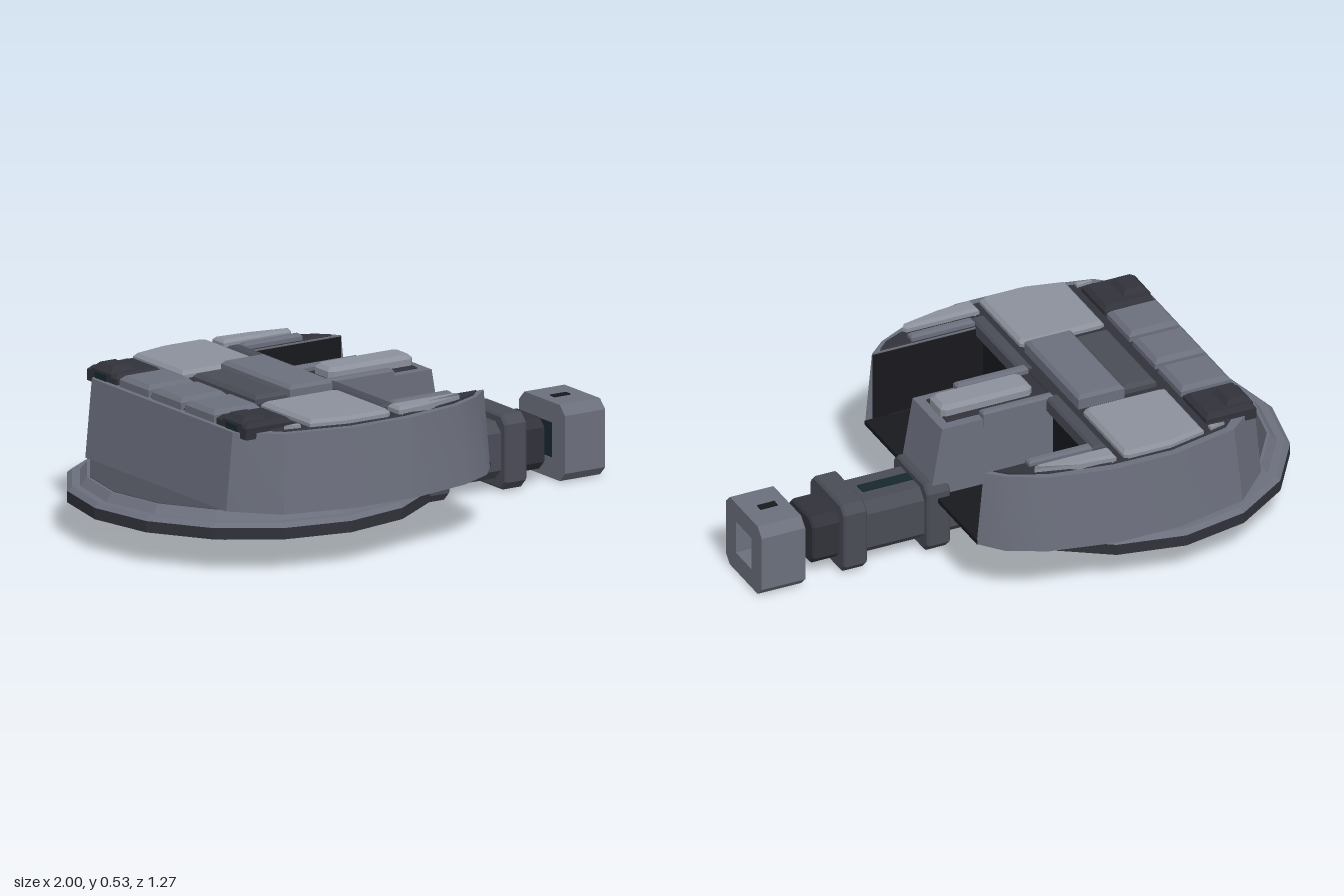
import * as THREE from 'three';
import { toCreasedNormals } from 'three/addons/utils/BufferGeometryUtils.js';

const MID = 0x6b6f7c, LIGHT = 0x8b909b, SHADE = 0x4a4c56, DARK = 0x31323a, BLACK = 0x18191d, GLASS = 0x17282d;

export function createModel() {
  const model = new THREE.Group();

  function add(name, geometry, color, flat = true) {
    const mesh = new THREE.Mesh(geometry, new THREE.MeshStandardMaterial({ color, flatShading: flat }));
    mesh.name = name;
    model.add(mesh);
    return mesh;
  }

  // Stack of equal-length [x, z] outlines at rising heights, capped at both ends
  function loft(rings) {
    const area = THREE.ShapeUtils.area(rings[0].pts.map(p => new THREE.Vector2(...p)));
    const loops = rings.map(r => {
      const pts = area < 0 ? [...r.pts].reverse() : r.pts;
      return pts.map(([x, z]) => [x, r.y, z]);
    });
    const pos = [];
    const tri = (a, b, c) => pos.push(...a, ...b, ...c);
    for (let k = 0; k < loops.length - 1; k++) {
      const lo = loops[k], hi = loops[k + 1];
      lo.forEach((a, i) => {
        const j = (i + 1) % lo.length;
        tri(a, hi[j], lo[j]);
        tri(a, hi[i], hi[j]);
      });
    }
    const cap = (loop, up) => {
      const faces = THREE.ShapeUtils.triangulateShape(loop.map(p => new THREE.Vector2(p[0], p[2])), []);
      for (const [a, b, c] of faces) up ? tri(loop[a], loop[c], loop[b]) : tri(loop[a], loop[b], loop[c]);
    };
    cap(loops[0], false);
    cap(loops[loops.length - 1], true);
    const g = new THREE.BufferGeometry();
    g.setAttribute('position', new THREE.Float32BufferAttribute(pos, 3));
    g.computeVertexNormals();
    return g;
  }

  // Raised plate with a chamfered top edge
  function plate(name, pts, y0, y1, color, inset = 0.012) {
    const xs = pts.map(p => p[0]), zs = pts.map(p => p[1]);
    const cx = (Math.min(...xs) + Math.max(...xs)) / 2, cz = (Math.min(...zs) + Math.max(...zs)) / 2;
    const sx = 1 - inset / (Math.max(...xs) - cx), sz = 1 - inset / (Math.max(...zs) - cz);
    const top = pts.map(([x, z]) => [cx + (x - cx) * sx, cz + (z - cz) * sz]);
    return add(name, loft([{ y: y0, pts }, { y: y1 - inset, pts }, { y: y1, pts: top }]), color);
  }
  const rect = (x0, x1, z0, z1) => [[x0, z0], [x1, z0], [x1, z1], [x0, z1]];
  const flip = pts => pts.map(([x, z]) => [x, -z]);
  const both = (name, pts, ...rest) => {
    plate(name + 'Left', pts, ...rest);
    plate(name + 'Right', flip(pts), ...rest);
  };

  // Block with chamfered long edges lying along x, with an optional square bore
  function block(name, x0, x1, y0, y1, hz, c, color, bore = 0) {
    const h = (y1 - y0) / 2, s = new THREE.Shape();
    [[-hz + c, -h], [hz - c, -h], [hz, -h + c], [hz, h - c], [hz - c, h], [-hz + c, h], [-hz, h - c], [-hz, -h + c]]
      .forEach(([a, b], i) => i ? s.lineTo(a, b) : s.moveTo(a, b));
    if (bore) {
      const hole = new THREE.Path();
      hole.moveTo(-bore, -bore).lineTo(-bore, bore).lineTo(bore, bore).lineTo(bore, -bore);
      s.holes.push(hole);
    }
    const b = bore ? 0 : 0.008;
    const g = new THREE.ExtrudeGeometry(s, {
      depth: x1 - x0 - 2 * b, bevelEnabled: !bore, bevelSize: b, bevelThickness: b, bevelOffset: -b, bevelSegments: 1,
    });
    g.translate(0, 0, b).rotateY(Math.PI / 2).translate(x0, (y0 + y1) / 2, 0);
    return add(name, g, color);
  }

  // Round base plate
  const circle = r => Array.from({ length: 16 }, (_, i) => {
    const a = i * Math.PI / 8;
    return [-0.37 + r * Math.cos(a), r * Math.sin(a)];
  });
  add('basePlate', loft([{ y: 0.12, pts: circle(0.63) }, { y: 0.16, pts: circle(0.63) }]), DARK);
  add('baseRim', loft([{ y: 0.16, pts: circle(0.63) }, { y: 0.175, pts: circle(0.612) }]), MID);
  add('baseStep', loft([{ y: 0.17, pts: circle(0.588) }, { y: 0.204, pts: circle(0.56) }]), MID);
  add('baseDeck', loft([{ y: 0.19, pts: circle(0.55) }, { y: 0.206, pts: circle(0.55) }]), SHADE);

  // Turret shell: solid rear, two side pods and the floor between them
  const rearHalf = [[-0.12, 0.635], [-0.35, 0.635], [-0.61, 0.575], [-0.75, 0.43]];
  const rear = [...rearHalf, ...flip(rearHalf).reverse()];
  const pod = [[-0.12, 0.435], [-0.12, 0.635], [-0.1, 0.635], [0.13, 0.585], [0.26, 0.52], [0.33, 0.435]];
  const taper = pts => pts.map(([x, z]) => [
    x < -0.3 || x > 0 ? (x + 0.21) * 0.95 - 0.21 : x,
    Math.abs(z) > 0.436 ? z * 0.953 : z,
  ]);
  const shell = pts => toCreasedNormals(loft([{ y: 0.205, pts }, { y: 0.48, pts: taper(pts) }]), 0.45);
  add('turretRear', shell(rear), MID, false);
  add('turretPodLeft', shell(pod), MID, false);
  add('turretPodRight', shell(flip(pod)), MID, false);
  plate('bayFloor', rect(-0.13, 0.33, -0.437, 0.437), 0.205, 0.222, BLACK, 0.002);
  plate('bayBackWall', rect(-0.13, -0.115, -0.437, 0.437), 0.21, 0.478, BLACK, 0.002);
  for (const s of [-1, 1]) {
    const liner = new THREE.BoxGeometry(0.42, 0.25, 0.006);
    add('bayLiner', liner.translate(0.09, 0.35, s * 0.434), BLACK);
  }

  // Dark roof inside the rim
  const deckHalf = [[-0.12, 0.575], [-0.34, 0.578], [-0.57, 0.525], [-0.695, 0.4]];
  plate('roofDeck', [...deckHalf, ...flip(deckHalf).reverse()], 0.46, 0.486, DARK, 0.005);
  both('podDeck', [[-0.12, 0.44], [-0.12, 0.575], [0.11, 0.535], [0.23, 0.48], [0.27, 0.44]], 0.46, 0.486, DARK, 0.005);

  // Roof plates
  both('sidePlate', [[-0.48, 0.24], [-0.465, 0.235], [-0.18, 0.235], [-0.165, 0.25], [-0.165, 0.56], [-0.18, 0.572],
    [-0.34, 0.572], [-0.48, 0.54]], 0.47, 0.51, LIGHT);
  both('podPlate', [[-0.135, 0.5], [0.14, 0.5], [0.15, 0.515], [0, 0.555], [-0.135, 0.57]], 0.47, 0.51, LIGHT, 0.01);
  both('cornerSliver', [[-0.57, 0.515], [-0.51, 0.51], [-0.51, 0.53]], 0.47, 0.5, LIGHT, 0.004);
  plate('hatchStep', rect(-0.47, -0.34, -0.19, 0.19), 0.47, 0.515, SHADE);
  plate('hatch', rect(-0.34, -0.165, -0.21, 0.21), 0.47, 0.536, MID);
  for (const z of [-0.2, 0, 0.2]) plate('rearBox', rect(-0.705, -0.515, z - 0.088, z + 0.088), 0.46, 0.52, MID, 0.015);

  // Corner housings with a raised hood and a lens facing back
  for (const s of [-1, 1]) {
    plate('cornerHousing', rect(-0.705, -0.515, s * 0.395 - 0.09, s * 0.395 + 0.09), 0.46, 0.515, DARK, 0.015);
    plate('cornerHood', rect(-0.705, -0.6, s * 0.4 - 0.06, s * 0.4 + 0.06), 0.48, 0.532, DARK, 0.022);
    add('lens', new THREE.BoxGeometry(0.01, 0.025, 0.07).translate(-0.704, 0.49, s * 0.4), GLASS);
  }

  // Frame around the open bays
  both('bayCrossBar', rect(-0.14, -0.09, 0.1, 0.475), 0.45, 0.5, SHADE, 0.008);
  both('bayOuterBar', rect(-0.09, 0.15, 0.442, 0.475), 0.45, 0.505, MID, 0.008);
  both('bayInnerBar', rect(-0.12, 0.15, 0.084, 0.117), 0.45, 0.505, MID, 0.008);

  // Central mount with a sloping nose
  const side = new THREE.Shape([[-0.12, 0.14], [0.31, 0.14], [0.345, 0.25], [0.305, 0.48], [-0.12, 0.48]]
    .map(p => new THREE.Vector2(...p)));
  add('gunMount', new THREE.ExtrudeGeometry(side, { depth: 0.23, bevelEnabled: false }).translate(0, 0, -0.115), MID);
  plate('mountRoof', rect(-0.12, 0.27, -0.08, 0.08), 0.47, 0.487, DARK, 0.004);
  plate('mountPlate', [[-0.07, -0.04], [-0.055, -0.055], [0.26, -0.055], [0.275, -0.04], [0.275, 0.04], [0.26, 0.055],
    [-0.055, 0.055], [-0.07, 0.04]], 0.47, 0.524, LIGHT, 0.014);

  // Gun running along x under the turret
  block('barrel', -0.13, 0.6, 0.045, 0.247, 0.11, 0.035, SHADE);
  add('barrelSlot', new THREE.BoxGeometry(0.19, 0.008, 0.045).translate(0.465, 0.247, 0), GLASS);
  block('innerBarrel', 0.66, 0.785, 0.05, 0.232, 0.098, 0.03, DARK);
  block('collarRear', -0.035, 0.055, 0.01, 0.2, 0.135, 0.03, SHADE);
  block('collarMiddle', 0.28, 0.37, 0.01, 0.274, 0.135, 0.03, SHADE);
  block('collarFront', 0.595, 0.685, 0.01, 0.274, 0.135, 0.03, SHADE);
  block('breechNeck', -0.29, -0.12, 0.03, 0.19, 0.085, 0.035, DARK);
  block('breech', -0.55, -0.275, 0.003, 0.15, 0.14, 0.03, MID);
  add('breechPins', new THREE.BoxGeometry(0.06, 0.016, 0.31).translate(-0.375, 0.11, 0), DARK);

  // Separate muzzle block with a square bore and top vent
  block('muzzle', 0.835, 1, 0.006, 0.274, 0.14, 0.032, MID, 0.062);
  add('bore', new THREE.BoxGeometry(0.02, 0.125, 0.125).translate(0.847, 0.14, 0), GLASS);
  add('muzzleVent', new THREE.BoxGeometry(0.065, 0.008, 0.028).translate(0.91, 0.274, 0), BLACK);

  return model;
}
